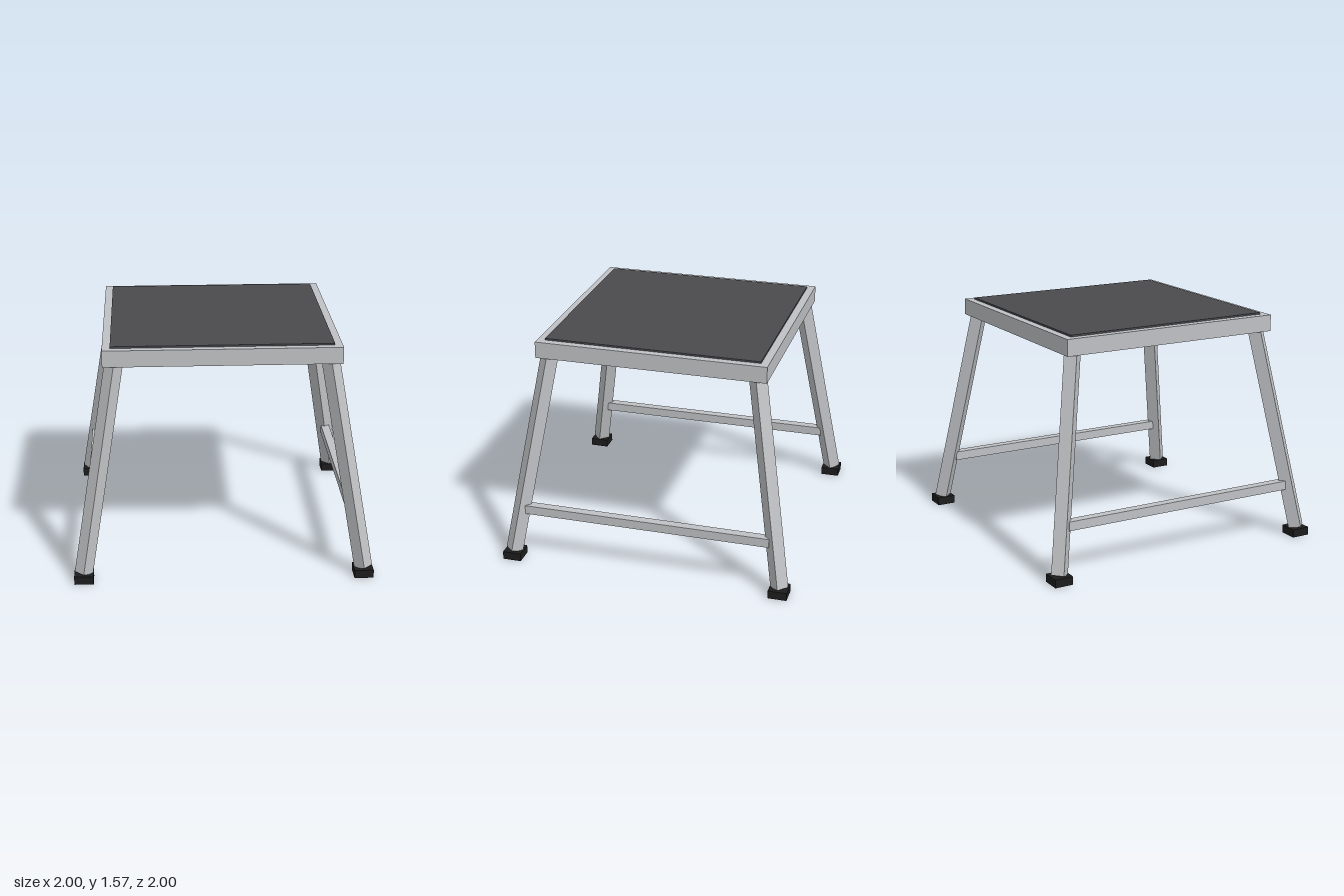
import * as THREE from 'three';

export function createModel() {
  const model = new THREE.Group();
  model.name = 'stepStool';

  const metal = new THREE.MeshStandardMaterial({ color: 0xbfc1c4 });
  metal.name = 'brushed grey metal';
  const mat = new THREE.MeshStandardMaterial({ color: 0x4a4a4e });
  mat.name = 'dark grey mat';
  const rubber = new THREE.MeshStandardMaterial({ color: 0x1c1c1c });
  rubber.name = 'black rubber';

  function box(name, material, w, h, d, x, y, z) {
    const mesh = new THREE.Mesh(new THREE.BoxGeometry(w, h, d), material);
    mesh.name = name;
    mesh.position.set(x, y, z);
    model.add(mesh);
    return mesh;
  }

  // Platform with an inset tread mat
  box('platform', metal, 1.566, 0.112, 1.566, 0, 1.499, 0);
  box('treadMat', mat, 1.462, 0.012, 1.462, 0, 1.561, 0);

  // Legs splay outward along the diagonals, each ending in a square foot
  const low = 0.937, high = 0.71, yLow = 0.057, yHigh = 1.44;
  const run = (low - high) * Math.SQRT2;
  const tilt = Math.atan2(run, yHigh - yLow);
  const length = Math.hypot(run, yHigh - yLow);
  const middle = (low + high) / 2;
  for (const sx of [-1, 1]) {
    for (const sz of [-1, 1]) {
      const leg = box('leg', metal, 0.086, length, 0.086,
        sx * middle, (yLow + yHigh) / 2, sz * middle);
      leg.rotation.order = 'YXZ';
      leg.rotation.set(-tilt, Math.atan2(sx, sz), 0);
      box('foot', rubber, 0.128, 0.056, 0.128, sx * 0.936, 0.028, sz * 0.936);
    }
    // Side brace joining the front and back legs
    box('sideBrace', metal, 0.062, 0.062, 1.706, sx * 0.887, 0.364, 0);
  }

  return model;
}
